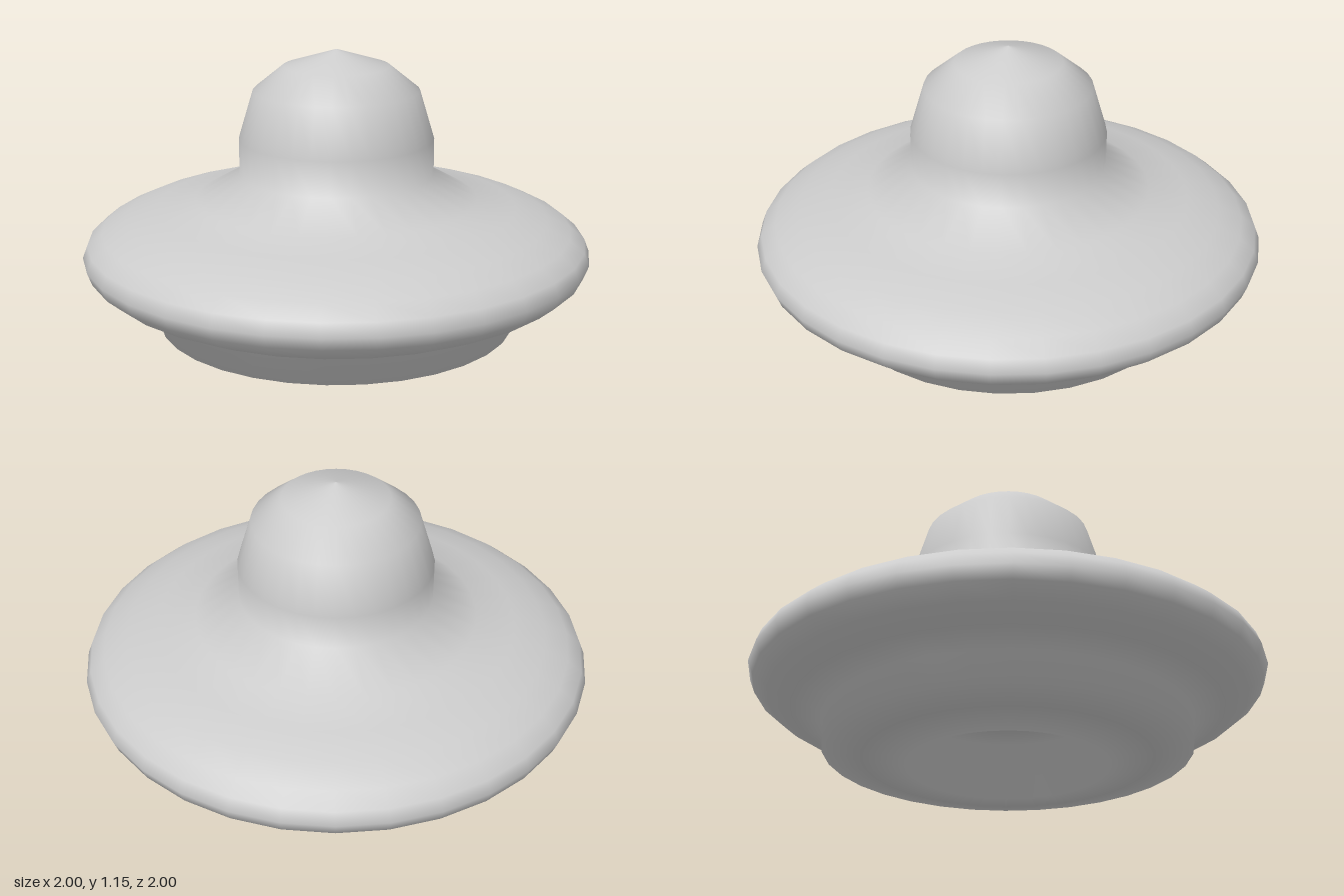
import * as THREE from 'three';

const SIDES = 32;
const STEP = Math.PI / 16;
const MID = 0.35;      // height of the saucer's rim
const HALF = 0.255;    // half thickness of the saucer

// Point on the flattened saucer, k steps above (+) or below (-) the rim
const onSaucer = (k, dy = 0) =>
  new THREE.Vector2(Math.max(0, Math.cos(k * STEP)), MID + HALF * Math.sin(k * STEP) + dy);

export function createModel() {
  const group = new THREE.Group();
  const material = new THREE.MeshStandardMaterial({ color: 0xcccccc });
  const profile = [];

  // Ceiling of the recess underneath, then down its wall
  for (let k = -8; k <= -6; k++) profile.push(onSaucer(k, 0.12));
  // Underside of the base ring, pushed down from the saucer
  for (let k = -6; k <= -4; k++) profile.push(onSaucer(k, -0.113));
  // Base wall joins the saucer, which curves up around the rim
  for (let k = -4; k <= 5; k++) profile.push(onSaucer(k));
  // Flared neck and faceted dome
  for (const [r, y] of [[0.382, 0.66], [0.382, 0.8], [0.325, 0.99], [0.208, 1.085], [0, 1.15]]) {
    profile.push(new THREE.Vector2(r, y));
  }

  const hull = new THREE.Mesh(new THREE.LatheGeometry(profile, SIDES), material);
  hull.name = 'saucerHull';
  group.add(hull);
  return group;
}
